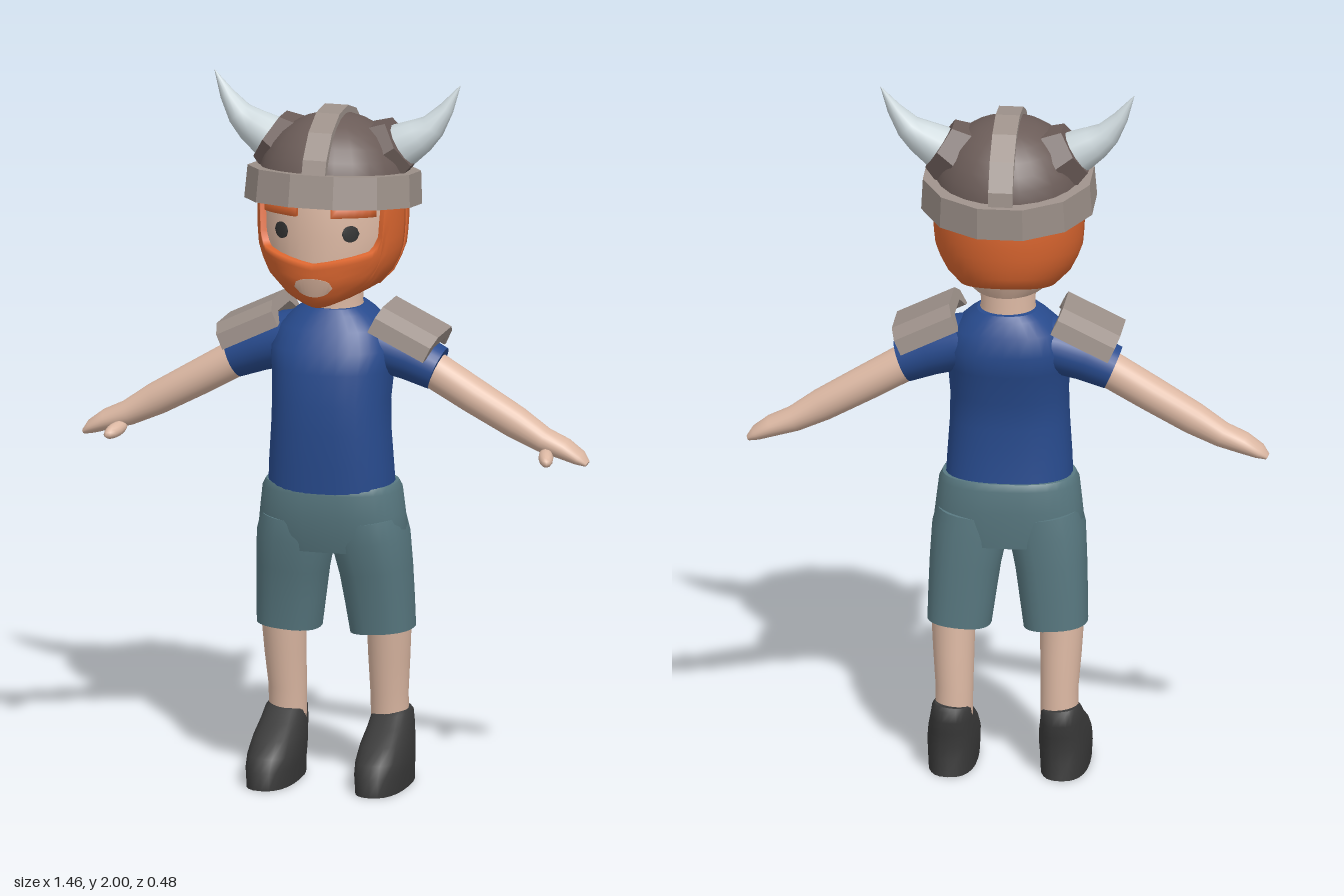
import * as THREE from 'three';

const paint = (name, color, open) => {
  const m = new THREE.MeshStandardMaterial({ color });
  m.name = name;
  if (open) m.side = THREE.DoubleSide;
  return m;
};

const flat = (g) => {
  const f = g.index ? g.toNonIndexed() : g;
  f.computeVertexNormals();
  return f;
};

function grid(pos, idx) {
  const g = new THREE.BufferGeometry();
  g.setAttribute('position', new THREE.Float32BufferAttribute(pos, 3));
  g.setIndex(idx);
  g.computeVertexNormals();
  return g;
}

// Closed body through rings [x, y, z, radius along z, radius across]; s = -1 mirrors it
function loft(rings, s = 1, power = 2, seg = 24) {
  const pos = [], idx = [], n = rings.length;
  const ringPoints = (i) => {
    const [x, y, z, a, b] = rings[i];
    const p = rings[Math.max(i - 1, 0)], q = rings[Math.min(i + 1, n - 1)];
    const t = new THREE.Vector2(s * (q[0] - p[0]), q[1] - p[1]).normalize();
    for (let j = 0; j < seg; j++) {
      const k = (j / seg) * Math.PI * 2, c = Math.cos(k), d = Math.sin(k);
      const u = a * Math.sign(c) * Math.abs(c) ** (2 / power);
      const v = b * Math.sign(d) * Math.abs(d) ** (2 / power);
      pos.push(s * x + t.y * v, y - t.x * v, z + u);
    }
  };
  for (let i = 0; i < n; i++) ringPoints(i);
  for (let i = 0; i < n - 1; i++) for (let j = 0; j < seg; j++) {
    const a = i * seg + j, b = i * seg + (j + 1) % seg;
    idx.push(a, b, b + seg, a, b + seg, a + seg);
  }
  for (const i of [0, n - 1]) {
    const base = pos.length / 3;
    ringPoints(i);
    pos.push(s * rings[i][0], rings[i][1], rings[i][2]);
    for (let j = 0; j < seg; j++) {
      const a = base + j, b = base + (j + 1) % seg;
      if (i) idx.push(a, b, base + seg); else idx.push(b, a, base + seg);
    }
  }
  return grid(pos, idx);
}

// Vertical ring from its front and back limits
const ring = (x, y, front, back, b) => [x, y, (front + back) / 2, (front - back) / 2, b];

// Head sections: height, front z, back z, half width
const HEAD = [
  [1.38, 0.15, -0.09, 0.05], [1.42, 0.188, -0.13, 0.105], [1.47, 0.208, -0.16, 0.155],
  [1.53, 0.213, -0.18, 0.185], [1.6, 0.213, -0.19, 0.192], [1.68, 0.213, -0.19, 0.192], [1.76, 0.2, -0.18, 0.185],
];
function headPoint(angle, y, off) {
  let i = 0;
  while (i < HEAD.length - 2 && y > HEAD[i + 1][0]) i++;
  const t = (y - HEAD[i][0]) / (HEAD[i + 1][0] - HEAD[i][0]);
  const [f, b, w] = [1, 2, 3].map((k) => THREE.MathUtils.lerp(HEAD[i][k], HEAD[i + 1][k], t));
  return [(w + off) * Math.sin(angle), y, (f + b) / 2 + ((f - b) / 2 + off) * Math.cos(angle)];
}

// Layer following the head between two angles, its border turned inwards by depth
function headPatch(a0, a1, bottom, top, off, depth, cols, rows) {
  const pos = [], idx = [];
  for (let i = -1; i <= rows + 1; i++) for (let j = -1; j <= cols + 1; j++) {
    const ci = THREE.MathUtils.clamp(i, 0, rows), cj = THREE.MathUtils.clamp(j, 0, cols);
    const a = a0 + (a1 - a0) * cj / cols;
    const y = THREE.MathUtils.lerp(bottom(a), top(a), ci / rows);
    pos.push(...headPoint(a, y, ci === i && cj === j ? off : off - depth));
  }
  const w = cols + 3;
  for (let i = 0; i < rows + 2; i++) for (let j = 0; j < cols + 2; j++) {
    const a = i * w + j;
    idx.push(a, a + 1, a + w + 1, a, a + w + 1, a + w);
  }
  return grid(pos, idx);
}

const oval = (mid, halfAngle, y, ry, off, cols) => {
  const h = (a) => ry * Math.sqrt(Math.max(0, 1 - ((a - mid) / halfAngle) ** 2));
  return headPatch(mid - halfAngle, mid + halfAngle, (a) => y - h(a), (a) => y + h(a), off, 0.004, cols, 1);
};

export function createModel() {
  const skin = paint('skin', 0xdcb8a3), blue = paint('shirt blue', 0x284b8e);
  const teal = paint('shorts teal', 0x587880), black = paint('shoe black', 0x3a3a3a);
  const orange = paint('hair orange', 0xd9652f, true), dark = paint('helmet brown', 0x6b5c58);
  const metal = paint('metal grey', 0x9d918a), bone = paint('horn white', 0xcbd6da);
  const eyeDark = paint('eye dark', 0x333333, true), lip = paint('face detail skin', 0xd9b39d, true);

  const model = new THREE.Group();
  const add = (name, geo, mat, parent = model) => {
    const m = new THREE.Mesh(geo, mat);
    m.name = name;
    parent.add(m);
    return m;
  };

  // Torso and neck
  add('shirt', loft([
    ring(0, 0.845, 0.15, -0.11, 0.178), ring(0, 0.92, 0.156, -0.105, 0.174), ring(0, 1.02, 0.162, -0.105, 0.167),
    ring(0, 1.1, 0.162, -0.113, 0.165), ring(0, 1.19, 0.157, -0.143, 0.17), ring(0, 1.25, 0.142, -0.156, 0.178),
    ring(0, 1.305, 0.11, -0.143, 0.155), ring(0, 1.345, 0.085, -0.127, 0.11), ring(0, 1.362, 0.072, -0.115, 0.085),
  ], 1, 2.4, 32), blue);
  add('neck', loft([ring(0, 1.32, 0.07, -0.1, 0.09), ring(0, 1.37, 0.065, -0.1, 0.076), ring(0, 1.46, 0.08, -0.1, 0.08)]), skin);

  // Shorts
  add('shortsHips', loft([
    ring(0, 0.675, 0.12, -0.115, 0.195), ring(0, 0.72, 0.134, -0.121, 0.211), ring(0, 0.78, 0.146, -0.125, 0.204),
    ring(0, 0.845, 0.152, -0.126, 0.196), ring(0, 0.865, 0.144, -0.116, 0.186),
  ], 1, 2.4, 32), teal);

  for (const s of [1, -1]) {
    const side = s > 0 ? 'left' : 'right';

    // Legs and shoes
    add(side + 'ShortsLeg', loft([
      ring(0.135, 0.435, 0.066, -0.115, 0.09), ring(0.128, 0.52, 0.082, -0.117, 0.095), ring(0.12, 0.61, 0.103, -0.119, 0.1),
      ring(0.108, 0.7, 0.128, -0.121, 0.107), ring(0.1, 0.76, 0.13, -0.118, 0.1),
    ], s, 2.4), teal);
    add(side + 'Leg', loft([
      ring(0.148, 0.15, 0.0, -0.105, 0.053), ring(0.147, 0.25, 0.01, -0.105, 0.053),
      ring(0.15, 0.35, 0.03, -0.1, 0.058), ring(0.153, 0.48, 0.05, -0.095, 0.063),
    ], s), skin);
    add(side + 'Shoe', loft([
      ring(0.157, 0, 0.2, -0.13, 0.067), ring(0.157, 0.05, 0.2, -0.124, 0.07), ring(0.156, 0.085, 0.175, -0.122, 0.071),
      ring(0.155, 0.125, 0.125, -0.127, 0.067), ring(0.154, 0.16, 0.06, -0.135, 0.06), ring(0.153, 0.19, 0.015, -0.132, 0.055),
      ring(0.152, 0.2, -0.005, -0.12, 0.048),
    ], s, 2.5), black);

    // Sleeves, arms and hands
    add(side + 'Sleeve', loft([
      [0.07, 1.265, -0.02, 0.1, 0.075], [0.14, 1.25, -0.02, 0.092, 0.078],
      [0.22, 1.222, -0.02, 0.077, 0.07], [0.295, 1.19, -0.02, 0.066, 0.063],
    ], s), blue);
    add(side + 'Arm', loft([
      [0.25, 1.205, -0.02, 0.052, 0.053], [0.4, 1.118, -0.02, 0.05, 0.05], [0.52, 1.05, -0.022, 0.045, 0.046],
      [0.6, 1.005, -0.022, 0.04, 0.036], [0.66, 0.983, -0.022, 0.042, 0.03], [0.705, 0.96, -0.021, 0.037, 0.02],
      [0.727, 0.944, -0.02, 0.018, 0.008],
    ], s), skin);
    const thumb = add(side + 'Thumb', new THREE.SphereGeometry(1, 12, 8), skin);
    thumb.scale.set(0.021, 0.02, 0.053);
    thumb.position.set(s * 0.622, 0.967, 0.034);
    thumb.rotation.set(0.15, s * 0.3, 0);

    // Arched shoulder plates
    const arch = new THREE.Shape([
      [-0.12, -0.07], [-0.113, -0.025], [-0.07, 0], [0.07, 0], [0.113, -0.025], [0.12, -0.07],
      [0.095, -0.066], [0.06, -0.035], [-0.06, -0.035], [-0.095, -0.066],
    ].map((p) => new THREE.Vector2(...p)));
    const plate = new THREE.ExtrudeGeometry(arch, { depth: 0.178, bevelEnabled: false }).rotateY(Math.PI / 2);
    plate.rotateZ(-0.45).translate(0.16, 1.378, 0);
    if (s < 0) plate.rotateY(Math.PI);
    add(side + 'ShoulderPlate', plate, metal);

    // Eyes and brows
    add(side + 'Eye', oval(s * 0.54, 0.128, 1.61, 0.023, 0.005, 8), eyeDark);
    const droop = (a) => 1.672 - 0.012 * Math.max(0, Math.abs(a) - 0.5);
    const [b0, b1] = s > 0 ? [0.25, 0.92] : [-0.92, -0.25];
    add(side + 'Brow', headPatch(b0, b1, (a) => droop(a) - 0.014, (a) => droop(a) + 0.014, 0.012, 0.015, 6, 1), orange);

    // Horns and their six-sided mounts
    add(side + 'Horn', loft([
      [0.15, 1.8, -0.02, 0.062, 0.068], [0.2, 1.828, -0.02, 0.058, 0.062], [0.245, 1.855, -0.022, 0.048, 0.05],
      [0.28, 1.883, -0.025, 0.038, 0.037], [0.318, 1.935, -0.03, 0.022, 0.021], [0.355, 2.0, -0.036, 0.001, 0.001],
    ], s, 2, 12), bone);
    const mount = add(side + 'HornMount', flat(new THREE.CylinderGeometry(0.08, 0.1, 0.055, 6)), dark);
    mount.position.set(s * 0.167, 1.818, -0.018);
    mount.rotation.z = -s;
  }

  // Head, hair and beard
  add('head', loft(HEAD.slice(1).map(([y, f, b, w]) => ring(0, y, f, b, w)), 1, 2, 32), skin);
  add('hair', headPatch(Math.PI / 2, Math.PI * 1.5, (a) => 1.435 + 0.03 * Math.cos(a) ** 2, () => 1.72, 0.02, 0.05, 24, 8), orange);
  const beardTop = (a) => {
    const k = Math.abs(a);
    return k > 1.05 ? 1.72 : k > 0.9 ? 1.555 + (k - 0.9) * 0.35 : 1.525 + 0.03 * k / 0.9;
  };
  add('beard', headPatch(-Math.PI / 2, Math.PI / 2, (a) => 1.39 + 0.055 * Math.sin(a) ** 2, beardTop, 0.018, 0.045, 44, 8), orange);
  add('mouth', oval(0, 0.34, 1.457, 0.028, 0.023, 10), lip);

  // Helmet, tipped back slightly
  const helmet = new THREE.Group();
  helmet.name = 'helmet';
  helmet.position.set(0, 1.705, 0.003);
  helmet.rotation.x = -0.13;
  model.add(helmet);
  const profile = (pts) => pts.map((p) => new THREE.Vector2(...p));
  const dome = [];
  for (let i = 0; i <= 8; i++) {
    const a = (i / 8) * Math.PI / 2;
    dome.push([0.212 * Math.cos(a), 0.206 * Math.sin(a)]);
  }
  add('helmetDome', new THREE.LatheGeometry(profile(dome), 24), dark, helmet);
  const band = new THREE.LatheGeometry(profile([
    [0.205, -0.046], [0.248, -0.046], [0.242, 0.046], [0.205, 0.046], [0.205, -0.046],
  ]), 12);
  add('helmetBand', flat(band.rotateY(Math.PI / 12)), metal, helmet);
  const arc = (rx, ry) => Array.from({ length: 9 }, (_, i) => [rx * Math.cos(i * Math.PI / 8), ry * Math.sin(i * Math.PI / 8)]);
  const strip = new THREE.Shape(profile([...arc(0.229, 0.224), ...arc(0.185, 0.18).reverse()]));
  const crest = new THREE.ExtrudeGeometry(strip, { depth: 0.068, bevelEnabled: false });
  add('helmetCrest', crest.rotateY(Math.PI / 2).translate(-0.034, 0, 0), metal, helmet);

  return model;
}
